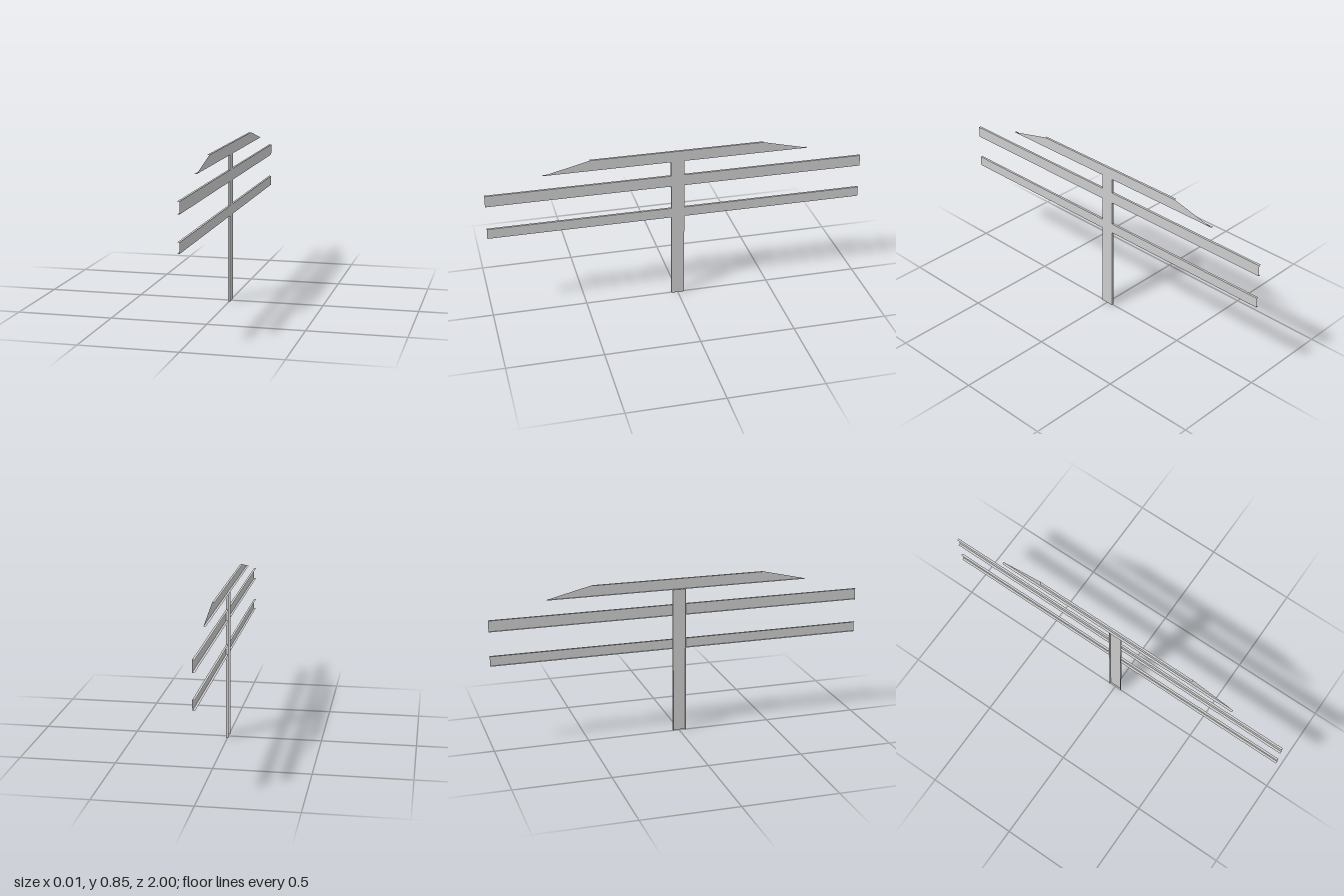
import * as THREE from 'three';
import { mergeGeometries } from 'three/addons/utils/BufferGeometryUtils.js';

const D = 0.006; // half depth of the folded sheet sections

const material = new THREE.MeshStandardMaterial({
  color: 0xcccccc, flatShading: true, side: THREE.DoubleSide,
});

// Thin U-channel running along y: web at +x, two flanges folded back to -x
function channel(width, length) {
  const web = new THREE.PlaneGeometry(width, length).rotateY(Math.PI / 2).translate(D, 0, 0);
  const flanges = [-1, 1].map((s) => {
    const f = new THREE.PlaneGeometry(2 * D, length);
    if (s < 0) f.rotateY(Math.PI);
    return f.translate(0, 0, s * width / 2);
  });
  return mergeGeometries([web, ...flanges]);
}

// Horizontal strip, facing up (1) or down (-1)
function strip(length, y, facing) {
  return new THREE.PlaneGeometry(2 * D, length).rotateX(-facing * Math.PI / 2).translate(0, y, 0);
}

export function createModel() {
  const group = new THREE.Group();
  const add = (name, geometry) => {
    const mesh = new THREE.Mesh(geometry, material);
    mesh.name = name;
    group.add(mesh);
    return mesh;
  };

  const postHalf = 0.035;
  const postTop = 0.787;
  const top = 0.845;

  // Upright post
  add('post', channel(postHalf * 2, postTop)).position.y = postTop / 2;

  // Two pairs of cross arms, one on each side of the post
  const arms = [['lowerArm', 0.465, 0.518], ['upperArm', 0.647, 0.707]];
  for (const [name, y0, y1] of arms) {
    for (const side of [-1, 1]) {
      const length = 1 - postHalf;
      const arm = add(name + (side > 0 ? 'Front' : 'Back'),
        channel(y1 - y0, length).rotateX(Math.PI / 2));
      arm.position.set(0, (y0 + y1) / 2, side * (postHalf + length / 2));
    }
  }

  // Tapered top plate with folded upper and lower edges
  const outline = new THREE.Shape([
    [-0.7, postTop], [0.7, postTop], [0.46, top], [-0.46, top],
  ].map(([z, y]) => new THREE.Vector2(z, y)));
  const plate = new THREE.ShapeGeometry(outline).rotateY(Math.PI / 2).translate(D, 0, 0);
  add('topPlate', mergeGeometries([plate, strip(0.92, top, 1), strip(1.4, postTop, -1)]));

  return group;
}
